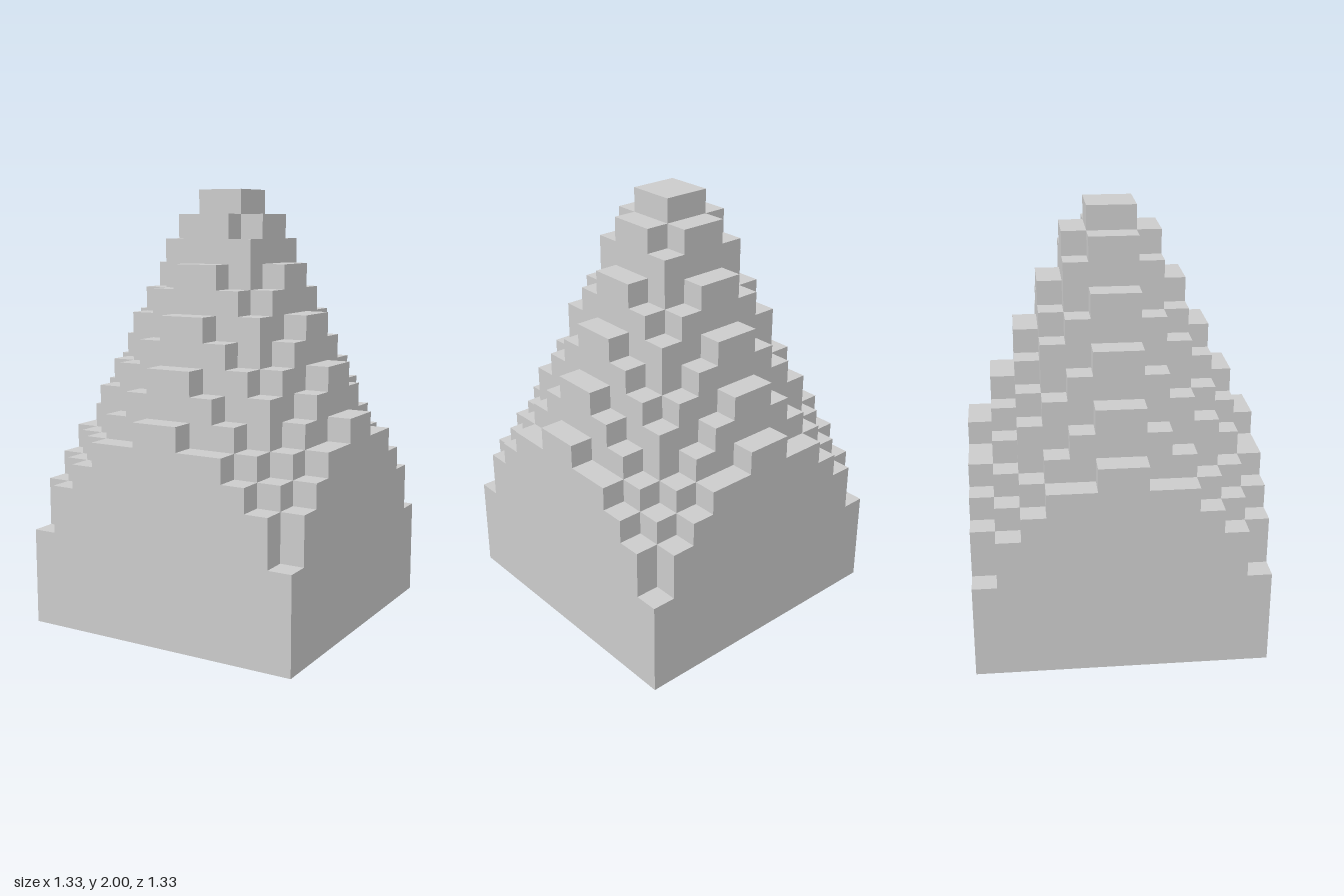
import * as THREE from 'three';

const UNIT = 2 / 18;   // edge of one block
const HALF = 6;        // blocks from the axis to each side

// Height in blocks of the column centred on (x, z): a cone cut into whole blocks
function columnHeight(x, z) {
  if (Math.max(Math.abs(x), Math.abs(z)) > HALF) return 0;
  return Math.floor(20.27 - 2 * Math.hypot(x, z));
}

// Collects flat quads; corners run counter-clockwise seen from outside
function quadBuilder() {
  const positions = [];
  return {
    add(a, b, c, d) {
      for (const p of [a, b, c, a, c, d]) positions.push(...p.map((v) => v * UNIT));
    },
    build() {
      const geometry = new THREE.BufferGeometry();
      geometry.setAttribute('position', new THREE.Float32BufferAttribute(positions, 3));
      geometry.computeVertexNormals();
      return geometry;
    },
  };
}

export function createModel() {
  const group = new THREE.Group();
  group.name = 'blockMountain';
  const material = new THREE.MeshStandardMaterial({ color: 0xcccccc, flatShading: true });
  const treads = quadBuilder();
  const walls = quadBuilder();
  const underside = quadBuilder();

  for (let x = 0.5 - HALF; x < HALF; x++) {
    for (let z = 0.5 - HALF; z < HALF; z++) {
      const h = columnHeight(x, z);
      const [x0, x1, z0, z1] = [x - 0.5, x + 0.5, z - 0.5, z + 0.5];

      // Top of the column
      treads.add([x0, h, z1], [x1, h, z1], [x1, h, z0], [x0, h, z0]);

      // Exposed wall towards each lower neighbour
      for (const [dx, dz] of [[1, 0], [-1, 0], [0, 1], [0, -1]]) {
        const low = columnHeight(x + dx, z + dz);
        if (low >= h) continue;
        const left = [x + (dx - dz) / 2, z + (dz + dx) / 2];
        const right = [x + (dx + dz) / 2, z + (dz - dx) / 2];
        walls.add(
          [left[0], low, left[1]], [right[0], low, right[1]],
          [right[0], h, right[1]], [left[0], h, left[1]],
        );
      }
    }
  }

  // Flat square bottom
  underside.add([-HALF, 0, -HALF], [HALF, 0, -HALF], [HALF, 0, HALF], [-HALF, 0, HALF]);

  for (const [name, part] of Object.entries({ treads, walls, underside })) {
    const mesh = new THREE.Mesh(part.build(), material);
    mesh.name = name;
    group.add(mesh);
  }
  return group;
}
